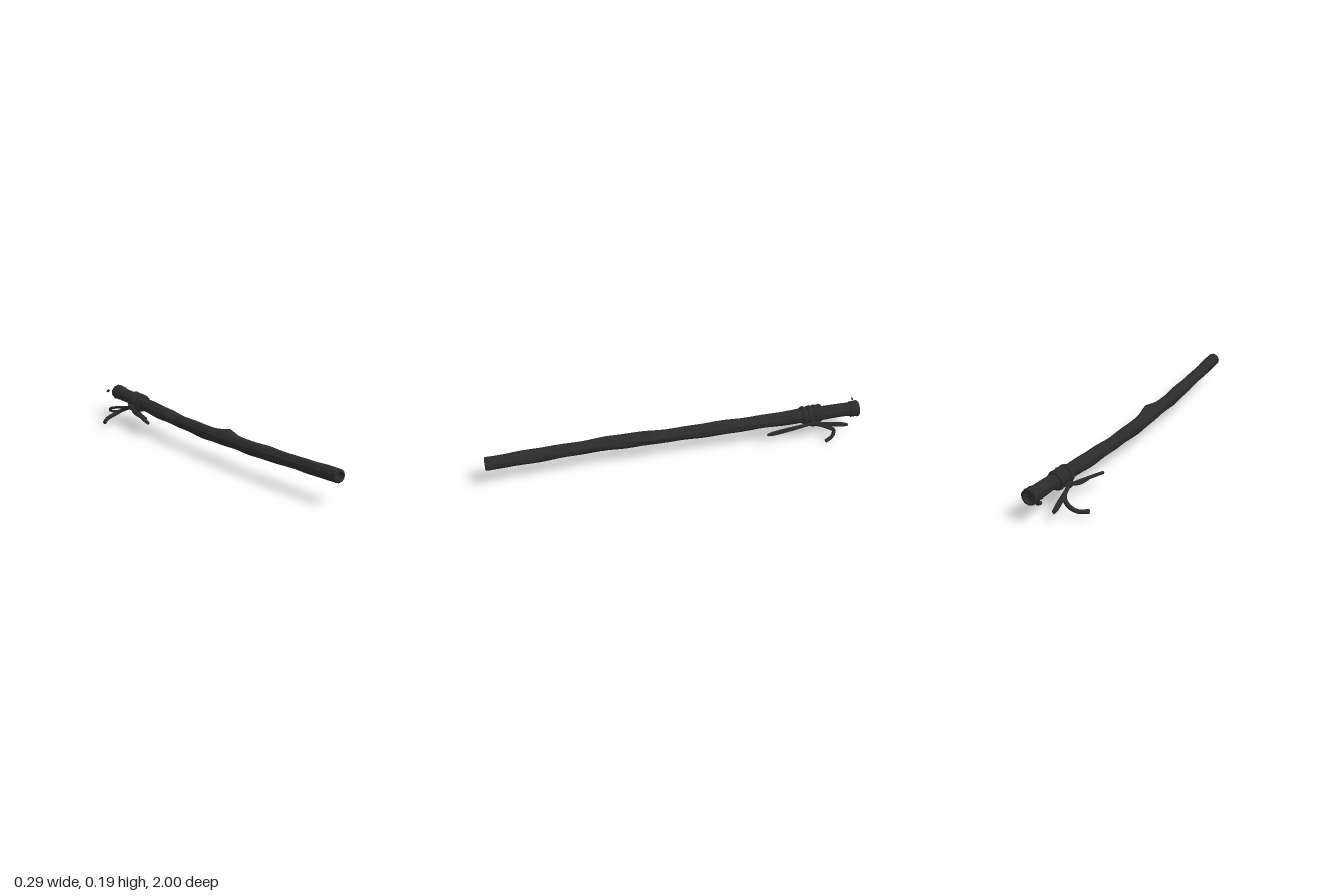
import * as THREE from 'three';

const V = (x, y, z) => new THREE.Vector3(x, y, z);

// Stick centre line from front to back: z, x, y, radius
const SPINE = [
  [0.99, 0.1, 0.155, 0.035], [0.7, 0.077, 0.148, 0.035], [0.35, 0.052, 0.141, 0.036],
  [0.15, 0.05, 0.136, 0.037], [0, 0.047, 0.131, 0.036], [-0.25, 0.046, 0.132, 0.036],
  [-0.5, 0.05, 0.137, 0.037], [-0.75, 0.056, 0.144, 0.037], [-0.985, 0.065, 0.149, 0.037],
];

function spineAt(z) {
  let i = 0;
  while (i < SPINE.length - 2 && z < SPINE[i + 1][0]) i++;
  const a = SPINE[i], b = SPINE[i + 1];
  const t = (a[0] - z) / (a[0] - b[0]);
  return a.map((v, k) => v + (b[k] - v) * t);
}

// Faceted normals
function faceted(geometry) {
  const g = geometry.index ? geometry.toNonIndexed() : geometry;
  g.computeVertexNormals();
  return g;
}

export function createModel() {
  const group = new THREE.Group();
  const darkWood = new THREE.MeshStandardMaterial({ color: 0x2b2b2b });

  function add(name, geometry, parent = group) {
    const mesh = new THREE.Mesh(faceted(geometry), darkWood);
    mesh.name = name;
    parent.add(mesh);
    return mesh;
  }

  // Gnarled shaft with a broken twig stub on its upper left
  const shaft = new THREE.CylinderGeometry(1, 1, 1.975, 10, 44, true);
  shaft.rotateX(Math.PI / 2);
  shaft.translate(0, 0, 0.0025);
  const p = shaft.attributes.position;
  for (let i = 0; i < p.count; i++) {
    const z = p.getZ(i);
    const a = Math.atan2(p.getY(i), p.getX(i));
    const [, x, y, radius] = spineAt(z);
    const calm = Math.min(1, (1 - Math.abs(z)) * 8);
    const rough = 0.05 * Math.sin(2 * a + z * 13) + 0.035 * Math.sin(3 * a - z * 29);
    const facing = Math.max(0, Math.cos(a - 0.7)) ** 4;
    const stub = 0.026 * facing * Math.max(0, 1 - Math.abs(z - 0.14) / 0.1);
    const r = radius * (1 + rough * calm) + stub;
    p.setXYZ(i, x + Math.cos(a) * r, y + Math.sin(a) * r, z);
  }
  add('shaft', shaft);

  // Hollow front tip
  const tip = new THREE.LatheGeometry([
    [0.034, -0.012], [0.035, 0.005], [0.031, 0.01], [0.023, 0.01],
    [0.02, -0.012], [0.012, -0.016], [0, -0.016],
  ].map(([x, y]) => new THREE.Vector2(x, y)), 12);
  tip.rotateX(Math.PI / 2);
  add('frontTip', tip).position.set(0.1, 0.155, 0.99);

  // Collar and recessed end at the back
  const collar = new THREE.LatheGeometry([
    [0.034, -0.052], [0.042, -0.046], [0.041, -0.02], [0.044, -0.008],
    [0.042, 0], [0.033, 0], [0.028, -0.022], [0, -0.022],
  ].map(([x, y]) => new THREE.Vector2(x, y)), 10);
  collar.rotateX(-Math.PI / 2);
  add('backCollar', collar).position.set(0.065, 0.148, -1);

  // Cord wound round the shaft
  const binding = new THREE.Group();
  binding.name = 'binding';
  group.add(binding);
  [[-0.7, 0.08], [-0.728, -0.12], [-0.762, 0.1], [-0.782, -0.06]].forEach(([z, tilt], i) => {
    const ring = new THREE.TorusGeometry(0.041, 0.009, 6, 14);
    ring.scale(1 + 0.04 * (i % 2), 1, 1.7);
    const wrap = add('cordWrap', ring, binding);
    wrap.position.set(0.054, 0.143, z);
    wrap.rotation.set(tilt, tilt * 0.7, i * 0.4);
  });

  // Ribbon along a smooth path
  function ribbon(name, points, radius, parent) {
    const curve = new THREE.CatmullRomCurve3(points);
    add(name, new THREE.TubeGeometry(curve, 18, radius, 6), parent);
    // Closed ribbon ends
    [0, 1].forEach((t) => {
      const cap = new THREE.CircleGeometry(radius, 6);
      const out = curve.getTangentAt(t).multiplyScalar(t ? 1 : -1);
      const mesh = add(name + 'End', cap, parent);
      mesh.position.copy(curve.getPointAt(t));
      mesh.quaternion.setFromUnitVectors(V(0, 0, 1), out);
    });
  }

  // Open loop from a knot to an end point, spread by a width vector
  function loop(name, knot, end, width, parent) {
    const mid = knot.clone().lerp(end, 0.65);
    const near = knot.clone().lerp(end, 0.93);
    ribbon(name, [
      knot, mid.clone().add(width), near.clone().addScaledVector(width, 0.7), end,
      near.clone().addScaledVector(width, -0.7), mid.clone().sub(width), knot.clone(),
    ], 0.0075, parent);
  }

  function bow(name, knot) {
    const g = new THREE.Group();
    g.name = name;
    group.add(g);
    const ball = new THREE.IcosahedronGeometry(0.018, 1);
    ball.scale(0.9, 1, 1.6);
    add('knot', ball, g).position.copy(knot);
    return g;
  }

  // Right bow: two loops and a long curling tail
  const rightKnot = V(0.004, 0.118, -0.745);
  const right = bow('rightBow', rightKnot);
  loop('frontLoop', rightKnot, V(-0.033, 0.083, -0.495), V(0.015, -0.01, 0), right);
  loop('backLoop', rightKnot, V(-0.03, 0.062, -0.935), V(0.014, -0.012, 0), right);
  ribbon('tail', [
    rightKnot, V(-0.012, 0.088, -0.815), V(-0.05, 0.062, -0.842),
    V(-0.1, 0.044, -0.84), V(-0.14, 0.035, -0.8),
  ], 0.0115, right);
  ribbon('shortTail', [rightKnot, V(-0.012, 0.1, -0.68), V(-0.012, 0.09, -0.6)], 0.008, right);

  // Left bow: two loops and a hanging tail
  const leftKnot = V(0.096, 0.112, -0.745);
  const left = bow('leftBow', leftKnot);
  loop('frontLoop', leftKnot, V(0.108, 0.087, -0.49), V(0.009, 0.013, 0), left);
  loop('backLoop', leftKnot, V(0.12, 0.09, -0.925), V(0.009, 0.012, 0), left);
  ribbon('tail', [
    leftKnot, V(0.1, 0.085, -0.81), V(0.112, 0.06, -0.855),
    V(0.125, 0.032, -0.845), V(0.136, 0.012, -0.805),
  ], 0.011, left);

  // Loose chip beside the back end
  const chip = new THREE.OctahedronGeometry(0.011);
  chip.scale(1.2, 1, 0.4);
  add('looseChip', chip).position.set(-0.004, 0.163, -0.995);

  return group;
}
